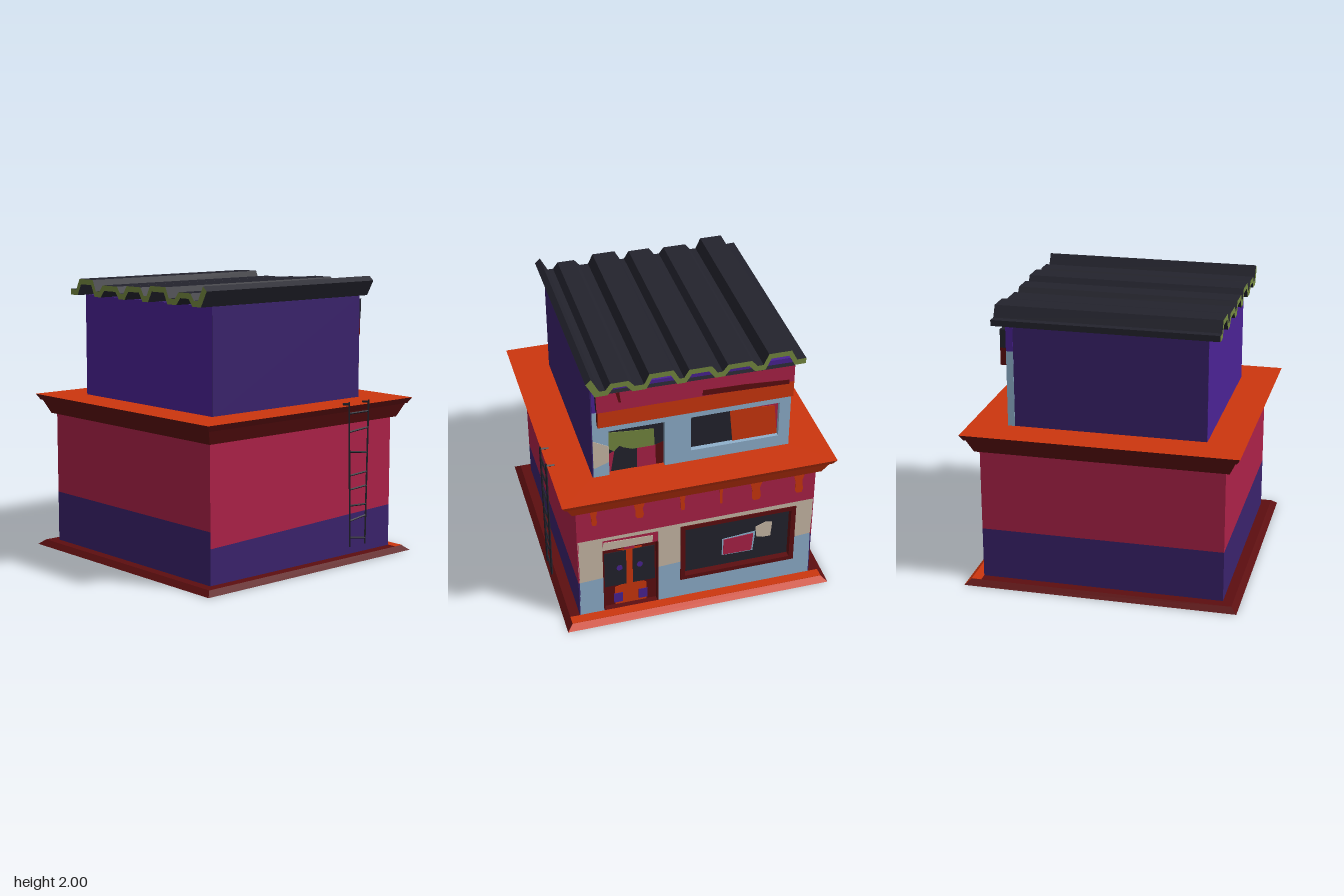
import * as THREE from 'three';

const makeMat = (name, color) => {
  const m = new THREE.MeshStandardMaterial({ color });
  m.name = name;
  return m;
};
const crimson = makeMat('crimson', 0xac2148);
const indigo = makeMat('indigo', 0x3a226c);
const violet = makeMat('violet', 0x4a2294);
const orange = makeMat('orange', 0xcc360e);
const maroon = makeMat('maroon', 0x5c0e10);
const charcoal = makeMat('charcoal', 0x23232d);
const blue = makeMat('pale blue', 0x8fb0cc);
const beige = makeMat('beige', 0xcabaa8);
const olive = makeMat('olive', 0x748840);

const FRONT = 0, RIGHT = Math.PI / 2, BACK = Math.PI, LEFT = -Math.PI / 2;
const vec = (pts) => pts.map(([u, v]) => new THREE.Vector2(u, v));
const rect = (u0, u1, v0, v1) => [[u0, v0], [u1, v0], [u1, v1], [u0, v1]];

export function createModel() {
  const model = new THREE.Group();
  const add = (name, geometry, material) => {
    const mesh = new THREE.Mesh(geometry, material);
    mesh.name = name;
    model.add(mesh);
    return mesh;
  };
  // Extruded outline on one side of the building; u runs rightwards seen from outside
  const panel = (name, mat, pts, side, from, depth = 0.004, hole) => {
    const shape = new THREE.Shape(vec(pts));
    if (hole) shape.holes.push(new THREE.Path(vec(hole)));
    const mesh = add(name, new THREE.ExtrudeGeometry(shape, { depth, bevelEnabled: false }), mat);
    mesh.rotation.y = side;
    mesh.position.set(Math.sin(side) * from, 0, Math.cos(side) * from);
    return mesh;
  };
  const box = (name, mat, x0, x1, y0, y1, z0, z1) => {
    add(name, new THREE.BoxGeometry(x1 - x0, y1 - y0, z1 - z0), mat)
      .position.set((x0 + x1) / 2, (y0 + y1) / 2, (z0 + z1) / 2);
  };
  // Square slab with sloping sides; materials: right side, other sides, top, bottom
  const slab = (name, half0, half1, y0, y1, mats) => {
    const g = new THREE.CylinderGeometry(half1 * Math.SQRT2, half0 * Math.SQRT2, y1 - y0, 4, 1, false, Math.PI / 4)
      .toNonIndexed();
    g.computeVertexNormals();
    g.clearGroups();
    [[0, 6], [6, 18], [24, 12], [36, 12]].forEach(([s, n], i) => g.addGroup(s, n, i));
    add(name, g, mats).position.y = (y0 + y1) / 2;
  };
  // Square rod between two points
  const bar = (name, a, b, r = 0.008) => {
    const p = new THREE.Vector3(...a), q = new THREE.Vector3(...b);
    const g = new THREE.CylinderGeometry(r, r, p.distanceTo(q), 4).toNonIndexed();
    g.computeVertexNormals();
    const m = add(name, g, charcoal);
    m.position.copy(p).add(q).multiplyScalar(0.5);
    m.quaternion.setFromUnitVectors(new THREE.Vector3(0, 1, 0), q.sub(p).normalize());
  };

  // Base plate and cornice
  slab('basePlate', 0.972, 0.93, 0, 0.035, [orange, maroon, maroon, indigo]);
  box('rightLedge', orange, 0.86, 0.93, 0.03, 0.037, -0.93, 0.93);
  slab('corniceLower', 0.89, 0.935, 0.99, 1.088, [orange, maroon, orange, maroon]);
  slab('corniceUpper', 0.945, 0.97, 1.088, 1.13, [orange, maroon, orange, maroon]);

  // Patches on the underside: s runs front-wards, t runs from right to left
  const patch = (mat, pts) => {
    const outline = pts.map(([s, t]) => [0.97 - 1.94 * t, -0.97 + 1.94 * s]);
    const m = add('undersidePatch', new THREE.ShapeGeometry(new THREE.Shape(vec(outline))), mat);
    m.rotation.x = Math.PI / 2;
    m.position.y = -0.001;
  };
  patch(blue, [[0.03, 0.02], [0.02, 0.12], [0.36, 0.24], [0.63, 0.2], [0.74, 0.1], [0.45, 0.08], [0.43, 0]]);
  patch(maroon, [[0.45, 0], [0.46, 0.08], [0.75, 0.1], [1, 0.08], [1, 0]]);
  patch(charcoal, [[1, 0.33], [0.76, 0.56], [0.285, 0.9], [0.3, 1], [0.65, 1], [1, 0.6]]);
  patch(beige, [[1, 0.6], [0.65, 1], [1, 1]]);
  patch(beige, [[0, 0.85], [0.19, 0.85], [0.3, 0.95], [0.3, 1], [0, 1]]);

  // Ground floor core and two-tone walls
  box('groundFloorCore', indigo, -0.852, 0.81, 0.03, 1.0, -0.852, 0.852);
  const twoTone = (name, side, yl, yr) => {
    panel(name + 'Lower', indigo, [[-0.86, 0.03], [0.86, 0.03], [0.86, yr], [-0.86, yl]], side, 0.85, 0.01);
    panel(name + 'Upper', crimson, [[-0.86, yl], [0.86, yr], [0.86, 1], [-0.86, 1]], side, 0.85, 0.01);
  };
  twoTone('frontWall', FRONT, 0.285, 0.34);
  twoTone('backWall', BACK, 0.4, 0.4);
  twoTone('leftWall', LEFT, 0.4, 0.4);

  // Shop wall on the right, with openings for door and window
  const wall = (name, mat, pts) => panel(name, mat, pts, RIGHT, 0.8, 0.06);
  wall('shopWallTop', crimson, [[-0.855, 0.715], [0.855, 0.728], [0.855, 1], [-0.855, 1]]);
  wall('shopWallStrip', beige, [[-0.855, 0.688], [0.855, 0.688], [0.855, 0.728], [-0.855, 0.715]]);
  for (const [u0, u1, y0, y1] of [[-0.855, -0.68, 0.34, 0.35], [-0.28, -0.12, 0.355, 0.365], [0.73, 0.855, 0.4, 0.41]]) {
    wall('shopWallMiddle', beige, [[u0, y0], [u1, y1], [u1, 0.688], [u0, 0.688]]);
    wall('shopWallBottom', blue, [[u0, 0.03], [u1, 0.03], [u1, y1], [u0, y0]]);
  }
  wall('shopWallSill', blue, rect(-0.12, 0.73, 0.03, 0.2));

  // Paint drips below the cornice: position, half width, tip height
  for (const [u, w, y] of [[-0.735, 0.03, 0.845], [-0.415, 0.045, 0.843], [-0.107, 0.024, 0.843],
    [0.17, 0.015, 0.838], [0.425, 0.05, 0.817], [0.74, 0.045, 0.812]]) {
    panel('paintDrip', orange, [[u - w, 0.99], [u - 0.6 * w, 0.91], [u - 0.6 * w, y + 0.02], [u - 0.3 * w, y],
      [u + 0.5 * w, y], [u + 0.7 * w, y + 0.03], [u + 0.5 * w, 0.92], [u + w, 0.99]], RIGHT, 0.86);
  }

  // Shop window
  panel('shopWindowFrame', maroon, rect(-0.12, 0.73, 0.195, 0.69), RIGHT, 0.81, 0.057, rect(-0.085, 0.695, 0.228, 0.657));
  panel('shopWindowPane', charcoal, rect(-0.1, 0.71, 0.21, 0.67), RIGHT, 0.81, 0.01);
  panel('posterEdge', blue, [[0.2, 0.318], [0.43, 0.313], [0.447, 0.49], [0.2, 0.468]], RIGHT, 0.82);
  panel('poster', crimson, [[0.207, 0.325], [0.42, 0.322], [0.43, 0.475], [0.21, 0.463]], RIGHT, 0.824);
  panel('notice', beige, [[0.455, 0.44], [0.5, 0.425], [0.56, 0.425], [0.57, 0.55], [0.52, 0.562], [0.445, 0.53]], RIGHT, 0.824);

  // Double door with transom
  panel('doorFrame', maroon, rect(-0.68, -0.28, 0.03, 0.69), RIGHT, 0.81, 0.006);
  for (const [u0, u1] of [[-0.682, -0.672], [-0.288, -0.278]])
    panel('doorJamb', maroon, rect(u0, u1, 0.03, 0.59), RIGHT, 0.81, 0.05);
  panel('doorLeaf', orange, [[-0.59, 0.037], [-0.36, 0.037], [-0.36, 0.2], [-0.44, 0.24], [-0.39, 0.55],
    [-0.57, 0.55], [-0.505, 0.53], [-0.52, 0.22], [-0.59, 0.2]], RIGHT, 0.816);
  panel('doorTopPatch', crimson, rect(-0.52, -0.445, 0.545, 0.59), RIGHT, 0.82);
  panel('transom', crimson, rect(-0.68, -0.28, 0.585, 0.688), RIGHT, 0.81, 0.035);
  panel('transomSheet', beige, [[-0.68, 0.59], [-0.32, 0.59], [-0.315, 0.65], [-0.67, 0.66]], RIGHT, 0.845);
  for (const [u, kick] of [[-0.585, -0.567], [-0.378, -0.385]]) {
    panel('doorGlass', charcoal, rect(u - 0.08, u + 0.08, 0.222, 0.535), RIGHT, 0.82);
    const knob = add('doorKnob', new THREE.CylinderGeometry(0.022, 0.022, 0.006, 10), violet);
    knob.rotation.z = -Math.PI / 2;
    knob.position.set(0.827, 0.385, -(u + 0.03 * Math.sign(kick - u)));
    panel('kickPlate', violet, rect(kick - 0.032, kick + 0.032, 0.057, 0.142), RIGHT, 0.82);
  }

  // Upper floor
  box('upperFloorCore', indigo, -0.695, 0.66, 1.12, 1.86, -0.695, 0.69);
  panel('upperFrontWall', indigo, rect(-0.7, 0.695, 1.12, 1.86), FRONT, 0.69, 0.007);
  panel('upperBackWall', indigo, rect(-0.695, 0.7, 1.12, 1.86), BACK, 0.695, 0.007);
  panel('upperLeftWall', violet, rect(-0.7, 0.695, 1.12, 1.86), LEFT, 0.695, 0.007);
  const upperWall = (mat, pts) => panel('upperRightWall', mat, pts, RIGHT, 0.65, 0.05);
  upperWall(violet, rect(-0.69, 0.705, 1.67, 1.86));
  upperWall(blue, rect(-0.69, 0.705, 1.5, 1.67));
  for (const [u0, u1] of [[-0.69, -0.58], [-0.19, -0.005], [0.625, 0.705]]) upperWall(blue, rect(u0, u1, 1.12, 1.5));
  upperWall(blue, rect(-0.005, 0.625, 1.12, 1.22));
  panel('wallPatch', beige, [[-0.69, 1.205], [-0.58, 1.245], [-0.58, 1.375], [-0.69, 1.438]], RIGHT, 0.7, 0.003);

  // Upper windows with painted shapes
  const upperPaint = (name, mat, pts, layer) => panel(name, mat, pts, RIGHT, 0.66 + layer * 0.004);
  upperPaint('cornerWindow', charcoal, rect(-0.58, -0.19, 1.12, 1.5), 0);
  upperPaint('cornerWindowBlind', olive, [[-0.58, 1.33], [-0.535, 1.3], [-0.5, 1.34], [-0.47, 1.32], [-0.41, 1.295],
    [-0.255, 1.295], [-0.255, 1.435], [-0.44, 1.45], [-0.58, 1.465]], 1);
  upperPaint('cornerWindowPanel', crimson, rect(-0.377, -0.245, 1.12, 1.294), 1);
  upperPaint('cornerWindowEdge', maroon, [[-0.245, 1.12], [-0.19, 1.12], [-0.19, 1.315], [-0.245, 1.294]], 1);
  upperPaint('cornerWindowSide', crimson, [[-0.58, 1.13], [-0.562, 1.13], [-0.535, 1.3], [-0.58, 1.28]], 1);
  upperPaint('wideWindow', charcoal, rect(-0.005, 0.625, 1.22, 1.5), 0);
  upperPaint('wideWindowEdge', crimson, [[0.276, 1.497], [0.6, 1.44], [0.625, 1.24], [0.625, 1.497]], 1);
  upperPaint('wideWindowPanel', orange, [[0.302, 1.22], [0.625, 1.22], [0.6, 1.46], [0.276, 1.496]], 2);

  // Sign board
  panel('signTop', [crimson, charcoal], [[-0.665, 1.693], [0.705, 1.693], [0.705, 1.822], [-0.67, 1.838]], RIGHT, 0.7, 0.04);
  panel('signBottom', [orange, maroon], rect(-0.66, 0.705, 1.57, 1.693), RIGHT, 0.7, 0.04);
  panel('signStreak', maroon, [[0.06, 1.7], [0.67, 1.68], [0.67, 1.712], [0.35, 1.735], [0.06, 1.742]], RIGHT, 0.74, 0.003);
  panel('signStreak', maroon, [[-0.515, 1.755], [-0.5, 1.755], [-0.51, 1.836], [-0.535, 1.836]], RIGHT, 0.74, 0.003);

  // Corrugated roof sheet: ridge start, ridge end, ridge height
  const ridges = [[-0.578, -0.456, 1.947], [-0.318, -0.154, 1.973], [-0.048, 0.106, 1.957],
    [0.217, 0.382, 1.947], [0.499, 0.658, 1.979]];
  const over = [[-0.743, 1.968], [-0.706, 2], [-0.653, 1.9]], under = [[-0.743, 1.968], [-0.684, 1.86]];
  for (const [a, b, h] of ridges) {
    over.push([a - 0.035, 1.9], [a, h], [b, h], [b + 0.04, 1.9]);
    under.push([a - 0.02, 1.86], [a + 0.018, h - 0.038], [b - 0.018, h - 0.038], [b + 0.025, 1.86]);
  }
  over.push([0.762, 1.902]);
  under.push([0.762, 1.86]);
  panel('corrugatedRoof', [olive, charcoal], [...under, ...over.slice(1).reverse()], RIGHT, -0.787, 1.572);

  // Ladder hooked over the cornice
  const z = 0.978;
  const rails = [[0.31, 0.335], [0.505, 0.487]];
  for (const [top, bottom] of rails) {
    bar('ladderRail', [bottom, 0.13, z], [top, 1.16, z]);
    bar('ladderHook', [top, 1.145, z], [top, 1.14, 0.92]);
  }
  const railX = ([top, bottom], y) => bottom + (top - bottom) * (y - 0.13) / 1.03;
  for (const [l, r] of [[1.08, 1.08], [0.95, 0.965], [0.81, 0.785], [0.64, 0.65], [0.54, 0.55],
    [0.425, 0.415], [0.315, 0.335], [0.195, 0.17]])
    bar('ladderRung', [railX(rails[0], l), l, z], [railX(rails[1], r), r, z], 0.007);

  return model;
}
